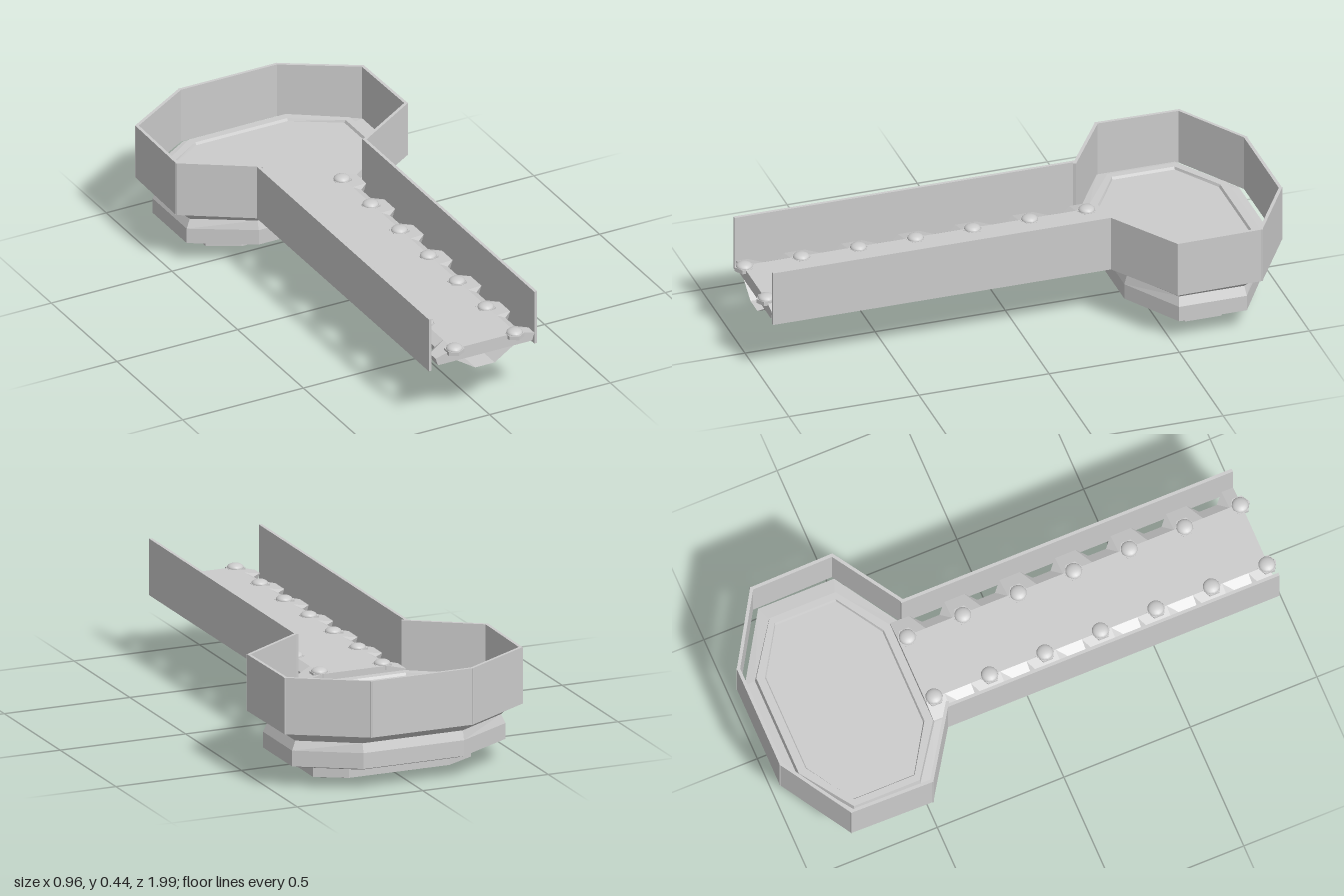
import * as THREE from 'three';

const grey = new THREE.MeshStandardMaterial({ color: 0xcccccc, flatShading: true, side: THREE.DoubleSide });
const smoothGrey = new THREE.MeshStandardMaterial({ color: 0xcccccc, side: THREE.DoubleSide });

const CENTRE_Z = -0.655;
const TRACK_END = 0.965;
const WALL_BOTTOM = 0.225;
const WALL_HEIGHT = 0.215;

// Skin a row of cross-sections (counter-clockwise seen from the far end) and cap both ends
function loft(rings) {
  const pos = [];
  const tri = (a, b, c) => pos.push(...a, ...b, ...c);
  const n = rings[0].length;
  for (let i = 0; i < rings.length - 1; i++) {
    const lower = rings[i], upper = rings[i + 1];
    for (let j = 0; j < n; j++) {
      const k = (j + 1) % n;
      tri(lower[j], lower[k], upper[k]);
      tri(lower[j], upper[k], upper[j]);
    }
  }
  const first = rings[0], last = rings[rings.length - 1];
  for (let j = 1; j < n - 1; j++) {
    tri(first[0], first[j + 1], first[j]);
    tri(last[0], last[j], last[j + 1]);
  }
  const geo = new THREE.BufferGeometry();
  geo.setAttribute('position', new THREE.Float32BufferAttribute(pos, 3));
  geo.computeVertexNormals();
  return geo;
}

// Long octagon with half-width hx, half-depth hz and corner points at cx, cz
function octagon(y, hx, hz, cz, cx = 0.2) {
  return [[hx, cz], [cx, hz], [-cx, hz], [-hx, cz], [-hx, -cz], [-cx, -hz], [cx, -hz], [hx, -cz]]
    .reverse()
    .map(([x, z]) => [x, y, CENTRE_Z + z]);
}

function add(parent, name, geometry, material = grey) {
  const mesh = new THREE.Mesh(geometry, material);
  mesh.name = name;
  parent.add(mesh);
  return mesh;
}

// Thin upright panel between two points on the ground plan
function panel(parent, name, [x1, z1], [x2, z2]) {
  const length = Math.hypot(x2 - x1, z2 - z1) + 0.01;
  const mesh = add(parent, name, new THREE.BoxGeometry(length, WALL_HEIGHT, 0.012));
  mesh.position.set((x1 + x2) / 2, WALL_BOTTOM + WALL_HEIGHT / 2, (z1 + z2) / 2);
  mesh.rotation.y = -Math.atan2(z2 - z1, x2 - x1);
}

export function createModel() {
  const model = new THREE.Group();
  model.name = 'walledPlatformWithWalkway';

  // Stepped underside drum
  add(model, 'lowerDrum', loft([
    octagon(0, 0.265, 0.09, 0.045, 0.18),
    octagon(0.015, 0.315, 0.135, 0.07),
    octagon(0.075, 0.315, 0.135, 0.07),
  ]));

  // Main hull with flared lip, ledge, raised rim and floor
  add(model, 'platformHull', loft([
    octagon(0.07, 0.375, 0.225, 0.11, 0.19),
    octagon(0.085, 0.425, 0.265, 0.13),
    octagon(0.145, 0.425, 0.265, 0.13),
    octagon(0.18, 0.41, 0.255, 0.125),
    octagon(0.225, 0.455, 0.31, 0.15),
    octagon(0.235, 0.455, 0.31, 0.15),
    octagon(0.24, 0.4, 0.27, 0.13),
    octagon(0.265, 0.395, 0.265, 0.13),
    octagon(0.265, 0.37, 0.235, 0.12, 0.19),
    octagon(0.255, 0.365, 0.23, 0.12, 0.19),
  ]));

  // Platform walls, open towards the walkway
  const walls = new THREE.Group();
  walls.name = 'platformWalls';
  const plan = [
    [-0.215, -0.34], [-0.473, -0.51], [-0.468, -0.825], [-0.2, -0.99],
    [0.2, -0.99], [0.468, -0.825], [0.473, -0.505], [0.215, -0.34],
  ];
  for (let i = 0; i < plan.length - 1; i++) panel(walls, 'platformWall', plan[i], plan[i + 1]);
  model.add(walls);

  // Walkway walls
  panel(model, 'walkwayWallRight', [-0.227, -0.34], [-0.227, TRACK_END - 0.005]);
  panel(model, 'walkwayWallLeft', [0.21, -0.34], [0.21, TRACK_END - 0.005]);

  // Walkway deck: sloped edges widen into a tooth beside each stud
  const studZ = Array.from({ length: 7 }, (_, i) => -0.355 + i * 0.2192);
  const section = (z, w) => [
    [w, 0.27, z], [0.13, 0.29, z], [-0.13, 0.29, z], [-w, 0.27, z],
    [-w + 0.01, 0.24, z], [w - 0.01, 0.24, z],
  ];
  const sections = [section(-0.39, 0.205)];
  studZ.forEach((z, i) => {
    if (i > 0) sections.push(section(z - 0.075, 0.165), section(z - 0.04, 0.205));
    if (i < 6) sections.push(section(z + 0.04, 0.205), section(z + 0.075, 0.165));
  });
  sections.push(section(TRACK_END, 0.205));
  add(model, 'walkwayDeck', loft(sections));

  // Tapered keel trough below the deck, open at its ends
  const keelLength = TRACK_END + 0.34;
  const keelProfile = [[-0.12, 0.242], [-0.04, 0.19], [0.04, 0.19], [0.12, 0.242]];
  for (let i = 0; i < 3; i++) {
    const [a, b] = [keelProfile[i], keelProfile[i + 1]];
    const strip = new THREE.PlaneGeometry(Math.hypot(b[0] - a[0], b[1] - a[1]), keelLength);
    strip.rotateX(Math.PI / 2);
    strip.rotateZ(Math.atan2(b[1] - a[1], b[0] - a[0]));
    strip.translate((a[0] + b[0]) / 2, (a[1] + b[1]) / 2, TRACK_END - keelLength / 2);
    add(model, 'keelPlate', strip);
  }

  // Domed studs on hexagonal nuts along both edges
  const dome = new THREE.SphereGeometry(0.031, 14, 5, 0, Math.PI * 2, 0, Math.PI / 2).scale(1, 0.5, 1);
  const nut = new THREE.CylinderGeometry(0.037, 0.037, 0.016, 6);
  for (const z of studZ) {
    for (const side of [-1, 1]) {
      const stud = new THREE.Group();
      stud.name = 'stud';
      add(stud, 'studDome', dome, smoothGrey);
      add(stud, 'studNut', nut).position.y = -0.008;
      stud.position.set(side * 0.125, 0.291, z);
      model.add(stud);
    }
  }
  return model;
}
